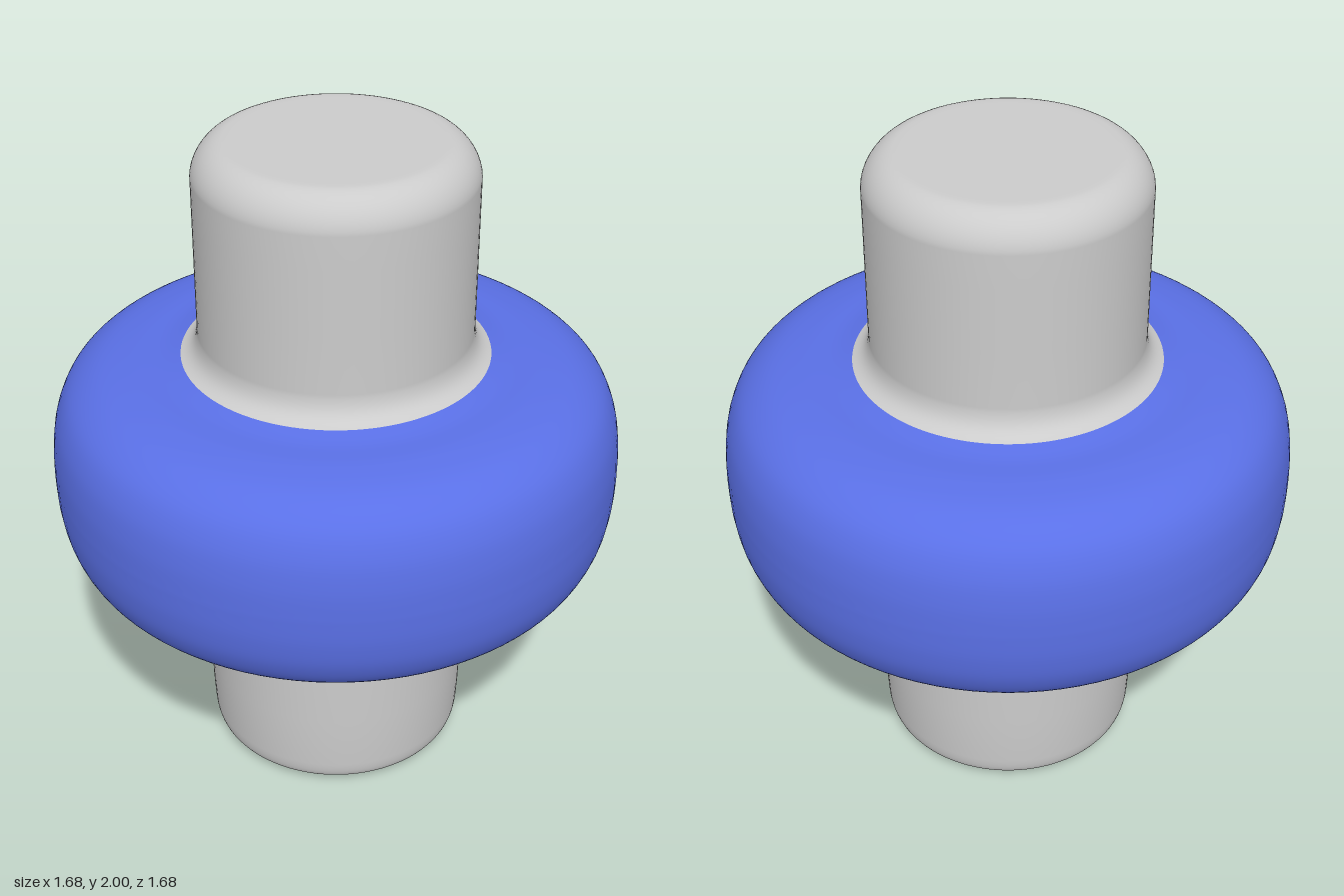
import * as THREE from 'three';

const V = (x, y) => new THREE.Vector2(x, y);
const SEGMENTS = 96;

function lathe(name, points, material) {
  const mesh = new THREE.Mesh(new THREE.LatheGeometry(points, SEGMENTS), material);
  mesh.name = name;
  return mesh;
}

// Reflects a profile about y = 1, keeping it running bottom to top.
const mirror = (points) => points.map((p) => V(p.x, 2 - p.y)).reverse();

export function createModel() {
  const group = new THREE.Group();
  group.name = 'collaredPin';
  const grey = new THREE.MeshStandardMaterial({ color: 0xcccccc });
  const blue = new THREE.MeshStandardMaterial({ color: 0x5a70e6 });

  // Fillet where the upper shaft flares into the collar
  const fillet = new THREE.CubicBezierCurve(
    V(0.45, 1.35), V(0.42, 1.363), V(0.403, 1.385), V(0.4, 1.43)).getPoints(10);

  // Upper shaft with a softly chamfered top
  const topEdge = new THREE.CubicBezierCurve(
    V(0.4, 1.9), V(0.398, 1.945), V(0.36, 1.995), V(0.31, 2)).getPoints(12);
  group.add(lathe('upperShaft', [...fillet, V(0.4, 1.6), V(0.4, 1.8), ...topEdge, V(0.29, 2), V(0, 2)], grey));

  // Lower shaft: slightly tapered end, tight rounded rim and shallow domed base
  const bottomEdge = new THREE.CubicBezierCurve(
    V(0.35, 0.017), V(0.38, 0.019), V(0.39, 0.025), V(0.394, 0.08)).getPoints(10);
  group.add(lathe('lowerShaft', [
    V(0, 0), V(0.07, 0.003), V(0.2, 0.01), V(0.33, 0.016), ...bottomEdge,
    V(0.398, 0.16), V(0.4, 0.26), V(0.4, 0.42), ...mirror(fillet),
  ], grey));

  // Collar with broad rounded shoulders, its two halves mirrored about the middle
  const shoulder = new THREE.SplineCurve([
    V(0.838, 1), V(0.834, 1.09), V(0.816, 1.18), V(0.775, 1.255), V(0.7, 1.308),
    V(0.6, 1.331), V(0.51, 1.337), V(0.45, 1.35),
  ]).getPoints(42);
  group.add(lathe('collar', [...mirror(shoulder).slice(0, -1), ...shoulder], blue));

  return group;
}
